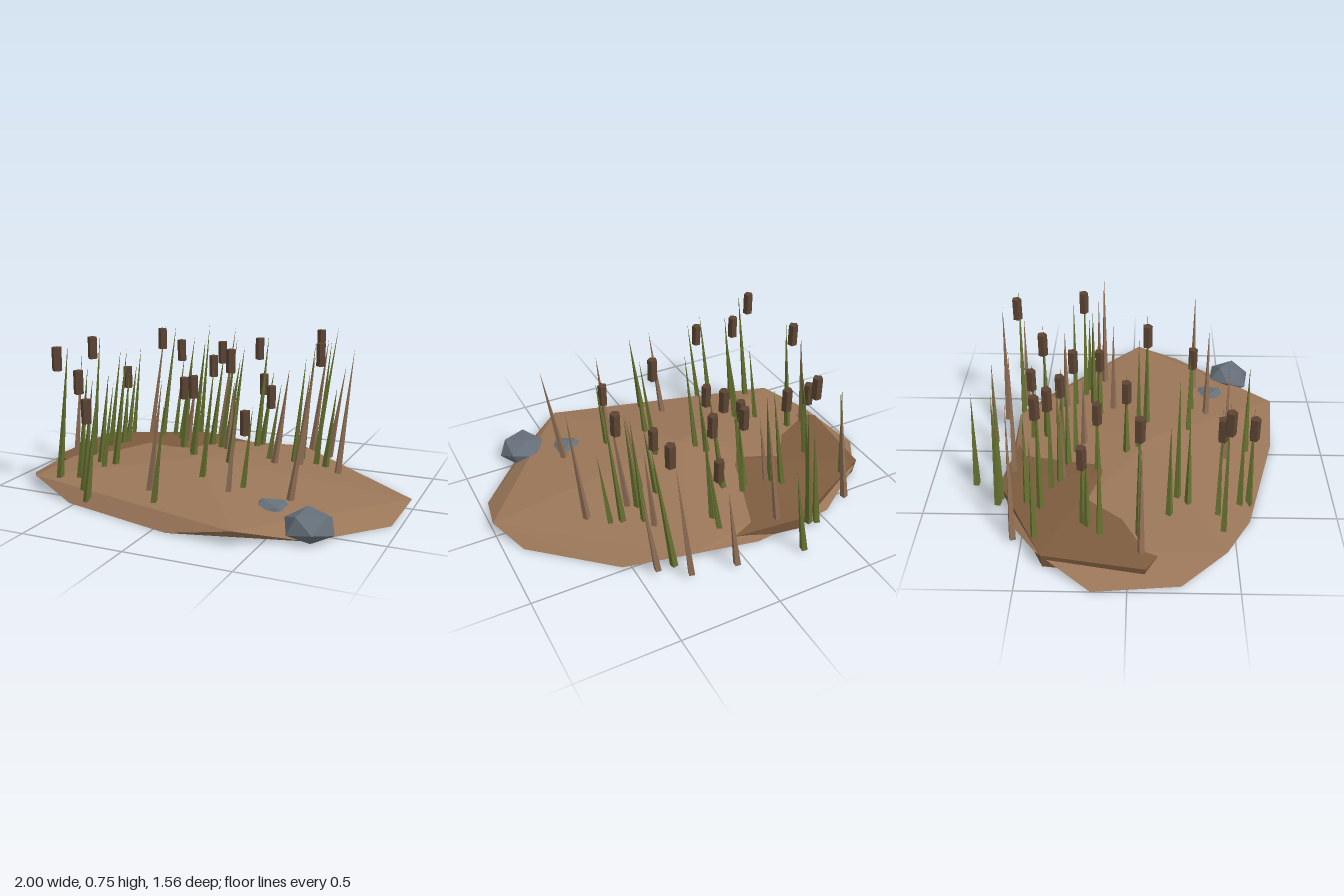
import * as THREE from 'three';

const mat = (name, color, side = THREE.FrontSide) => {
  const m = new THREE.MeshStandardMaterial({ color, flatShading: true, side });
  m.name = name;
  return m;
};

// Open faceted mound: apex, raised rim points, and two foot points under each rim point.
// Each rim entry: [x, y, z, foot before x, z, foot after x, z]
function moundGeometry(apex, rim) {
  const p = [];
  const tri = (a, b, c) => p.push(...a, ...b, ...c);
  rim.forEach((r, i) => {
    const n = rim[(i + 1) % rim.length];
    const top = r.slice(0, 3), next = n.slice(0, 3);
    const before = [r[3], 0, r[4]], after = [r[5], 0, r[6]], nextBefore = [n[3], 0, n[4]];
    tri(apex, top, next);
    tri(top, after, nextBefore);
    tri(top, nextBefore, next);
    if (r[3] !== r[5] || r[4] !== r[6]) tri(top, before, after);
  });
  const g = new THREE.BufferGeometry();
  g.setAttribute('position', new THREE.Float32BufferAttribute(p, 3));
  g.computeVertexNormals();
  return g;
}

export function createModel() {
  const group = new THREE.Group();
  const earth = mat('earth', 0x9a7658, THREE.DoubleSide);
  const mud = mat('darkMud', 0x7d5c3e, THREE.DoubleSide);
  const green = mat('reedGreen', 0x65702f);
  const dry = mat('dryReed', 0x8f6f56);
  const brown = mat('cattailBrown', 0x5c4433);
  const stone = mat('stone', 0x66707a);

  let seed = 7;
  const rand = () => (seed = (seed * 16807) % 2147483647) / 2147483647;

  const add = (name, geometry, material, x = 0, y = 0, z = 0) => {
    const m = new THREE.Mesh(geometry, material);
    m.name = name;
    m.position.set(x, y, z);
    group.add(m);
    return m;
  };

  // Main mound
  add('mound', moundGeometry([-0.07, 0.155, 0.1], [
    [1, 0.06, 0.03, 0.96, 0.26, 0.91, -0.15],
    [0.25, 0.065, -0.61, 0.54, -0.48, -0.12, -0.62],
    [-0.82, 0.065, -0.42, -0.55, -0.58, -1, -0.16],
    [-0.81, 0.065, 0.45, -0.96, 0.24, -0.53, 0.58],
    [0.4, 0.07, 0.77, 0.07, 0.74, 0.68, 0.58],
  ]), earth);

  // Darker mud bank breaking through at the back
  const bank = [
    [0.5, 0.045, 0], [0.5, 0.045, -0.4], [0.05, 0.05, -0.58], [-0.35, 0.07, -0.64],
    [-0.86, 0.078, -0.39], [-0.92, 0.06, 0.08], [-0.45, 0.045, 0.38], [0.25, 0.045, 0.3],
  ].map(([x, y, z]) => {
    const fx = -0.2 + (x + 0.2) * 0.98, fz = -0.15 + (z + 0.15) * 0.98;
    return [x, y, z, fx, fz, fx, fz];
  });
  add('mudBank', moundGeometry([-0.3, 0.119, -0.15], bank), mud);

  // Rocks: [x, y, z, radius, turn], flattened where they meet the ground
  [[0.67, 0.06, 0.555, 0.122, 0.4], [0.45, 0.045, 0.43, 0.105, 1.5], [0.17, 0.04, 0.26, 0.1, 2.3]]
    .forEach(([x, y, z, r, turn]) => {
      const g = new THREE.IcosahedronGeometry(r, 0);
      g.rotateX(0.55).rotateY(turn).scale(1, 0.68, 1);
      const pos = g.attributes.position;
      for (let i = 0; i < pos.count; i++) pos.setY(i, Math.max(pos.getY(i), -y));
      g.computeVertexNormals();
      add('rock', g, stone, x, y, z);
    });

  // Tapered blade rooted in the mound, leaning towards +x
  const blade = (name, x, z, tipY, material) => {
    const rho = Math.hypot(x / 0.9, z / 0.7);
    const baseY = Math.max(0, 0.1 - 0.08 * rho);
    const h = tipY - baseY;
    const lean = (0.09 + rand() * 0.07) * h;
    const g = new THREE.ConeGeometry(0.02, h, 4, 1);
    g.rotateY(rand() * 3).translate(0, h / 2, 0);
    const pos = g.attributes.position;
    for (let i = 0; i < pos.count; i++) pos.setX(i, pos.getX(i) + lean * pos.getY(i) / h);
    g.computeVertexNormals();
    add(name, g, material, x, baseY, z);
  };

  // Cattails: [x, z, head height]
  const headGeometry = new THREE.CylinderGeometry(0.025, 0.025, 0.115, 5);
  [
    [-0.7, 0.05, 0.66], [-0.66, 0.44, 0.67], [-0.64, -0.21, 0.46], [-0.555, 0.42, 0.56],
    [-0.53, -0.42, 0.65], [-0.415, 0.58, 0.465], [-0.39, -0.38, 0.6], [-0.27, -0.16, 0.44],
    [-0.18, -0.34, 0.535], [-0.15, -0.02, 0.485], [-0.1, -0.28, 0.625], [0.05, -0.44, 0.63],
    [0.05, -0.51, 0.42], [0.1, 0.08, 0.655], [0.22, -0.17, 0.435], [0.275, 0.32, 0.42],
    [0.345, -0.6, 0.67], [0.45, -0.26, 0.655],
  ].forEach(([x, z, y]) => {
    blade('cattailStem', x - 0.015, z, y + 0.08, green);
    add('cattailHead', headGeometry, brown, x, y, z);
  });

  // Loose blades: [x, z]
  const scatter = (name, material, spots) =>
    spots.forEach(([x, z]) => blade(name, x, z, 0.48 + rand() * 0.26, material));
  scatter('greenReed', green, [
    [-0.74, -0.43], [-0.72, -0.13], [-0.67, -0.19], [-0.44, -0.64], [-0.4, -0.63],
    [-0.5, -0.49], [-0.36, -0.34], [-0.22, -0.31], [-0.59, 0.19], [-0.52, 0.28],
    [-0.48, 0.23], [-0.48, 0.53], [-0.13, 0.04], [-0.07, 0.59], [0.04, 0.3],
    [0.34, -0.31], [0.49, -0.24], [-0.28, -0.77], [0.33, -0.21],
  ]);
  scatter('dryReed', dry, [
    [-0.82, 0.06], [-0.68, -0.54], [-0.25, -0.58], [-0.06, -0.24], [0.06, -0.72],
    [0.28, -0.68], [0.41, -0.59], [0.26, -0.1], [0.22, 0.4], [0.5, 0.34],
    [0.58, -0.16], [-0.15, 0.48], [0.31, -0.36], [-0.34, -0.33], [0.37, -0.18],
  ]);
  return group;
}
